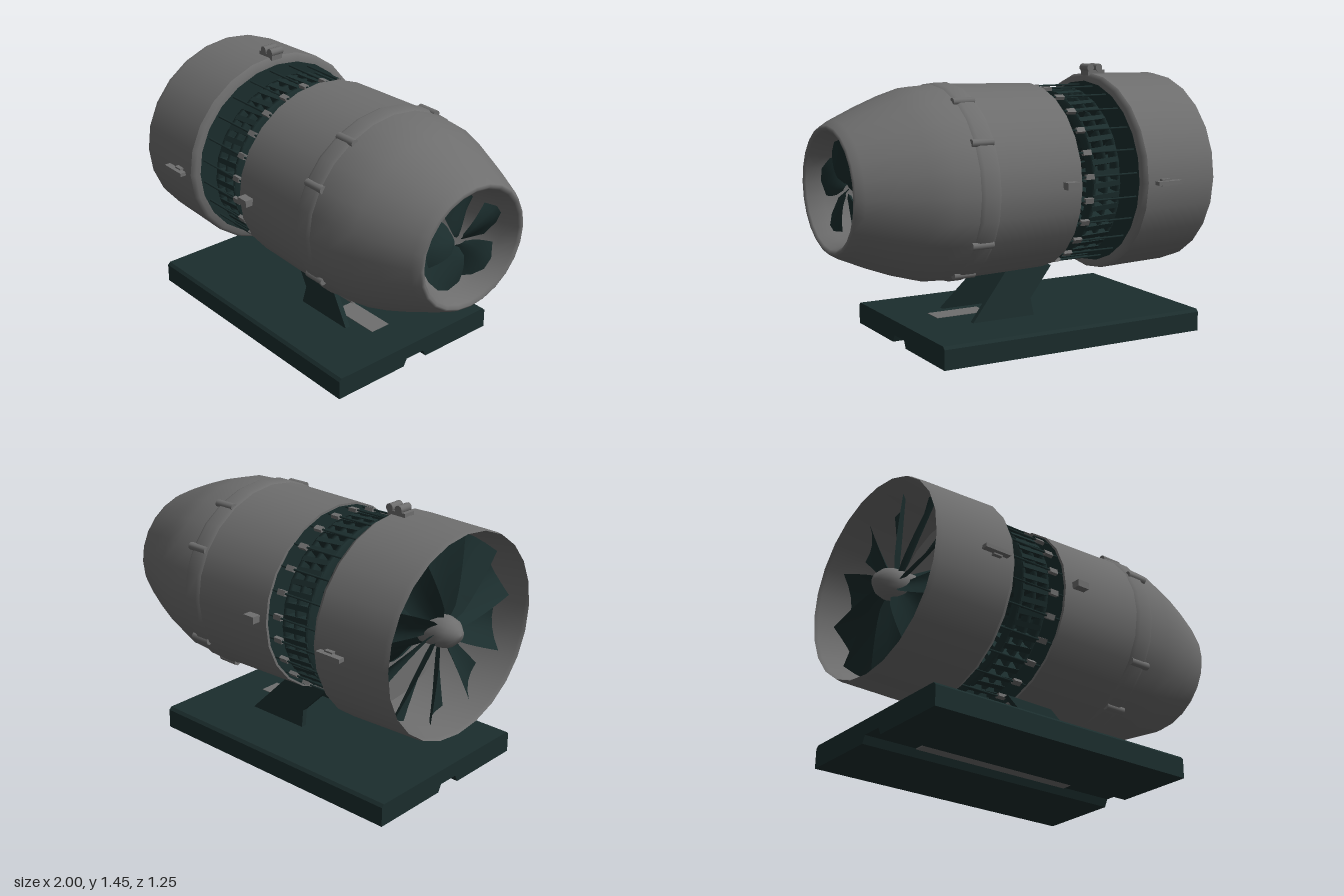
import * as THREE from 'three';

const grey = new THREE.MeshStandardMaterial({ color: 0x6e6e6e, side: THREE.DoubleSide });
grey.name = 'casing grey';
const dark = new THREE.MeshStandardMaterial({ color: 0x1b2d2d, side: THREE.DoubleSide });
dark.name = 'dark teal metal';

function add(parent, name, geometry, material, x = 0, y = 0, z = 0) {
  const mesh = new THREE.Mesh(geometry, material);
  mesh.name = name;
  mesh.position.set(x, y, z);
  parent.add(mesh);
  return mesh;
}

// Revolves [x, radius] points about the x axis; splits the profile at sharp corners.
function revolve(parent, name, runs, material, sides = 24) {
  const group = new THREE.Group();
  group.name = name;
  for (const run of runs) {
    const geo = new THREE.LatheGeometry(run.map(([x, r]) => new THREE.Vector2(r, x)), sides);
    geo.rotateZ(-Math.PI / 2);
    add(group, name + 'Surface', geo, material);
  }
  parent.add(group);
}

// Twisted blade standing along +y, sweeping wider toward the tip.
function bladeGeometry(r0, r1, rootWidth, tipWidth, twist0, twist1, round) {
  const geo = new THREE.PlaneGeometry(1, 1, 4, 6);
  const p = geo.attributes.position;
  for (let i = 0; i < p.count; i++) {
    const u = p.getX(i), t = p.getY(i) + 0.5;
    const width = THREE.MathUtils.lerp(rootWidth, tipWidth, Math.sqrt(t));
    const angle = THREE.MathUtils.lerp(twist0, twist1, t);
    const r = THREE.MathUtils.lerp(r0, r1, t) - round * t * 4 * u * u;
    const bow = 0.15 * width * (1 - 4 * u * u);
    p.setXYZ(i, u * width * Math.sin(angle) + bow, r, u * width * Math.cos(angle));
  }
  geo.computeVertexNormals();
  return geo;
}

// Places count copies of a part around the x axis.
function ring(parent, name, count, geometry, material, x, offset = 0) {
  const group = new THREE.Group();
  group.name = name + 's';
  group.position.x = x;
  for (let i = 0; i < count; i++) {
    add(group, name, geometry, material).rotation.x = offset + (i / count) * Math.PI * 2;
  }
  parent.add(group);
}

export function createModel() {
  const model = new THREE.Group();
  model.name = 'jetEngineOnStand';

  const engine = new THREE.Group();
  engine.name = 'engine';
  engine.position.y = 0.854;
  engine.scale.y = 0.93;
  model.add(engine);

  // Intake cowl: outer skin, rear flange and inner duct
  revolve(engine, 'intakeCowl', [
    [[-1, 0.57], [-0.97, 0.576], [-0.75, 0.582], [-0.56, 0.588]],
    [[-0.56, 0.588], [-0.535, 0.57], [-0.535, 0.52]],
    [[-0.535, 0.52], [-0.8, 0.537], [-0.98, 0.56], [-1, 0.57]],
  ], grey);
  revolve(engine, 'intakeBulkhead', [[[-0.57, 0.522], [-0.57, 0.28]]], grey);
  revolve(engine, 'compressorFrontPlate', [[[-0.54, 0.54], [-0.533, 0.54], [-0.533, 0.28]]], dark);

  // Rear casing with the raised band, tapering to the nozzle
  revolve(engine, 'rearCasing', [
    [[-0.18, 0.5], [-0.18, 0.54]],
    [[-0.18, 0.54], [0, 0.545], [0.3, 0.552]],
    [[0.3, 0.552], [0.32, 0.562], [0.39, 0.562], [0.41, 0.552]],
    [[0.41, 0.552], [0.54, 0.545], [0.66, 0.507], [0.8, 0.45], [0.95, 0.38], [0.99, 0.355],
      [0.998, 0.342], [0.985, 0.325], [0.9, 0.3], [0.75, 0.27], [0.5, 0.2]],
    [[0.5, 0.2], [0.5, 0.001]],
  ], grey);

  // Exposed compressor between the casings
  revolve(engine, 'compressorCore', [
    [[-0.68, 0.12], [-0.54, 0.3], [-0.42, 0.33], [-0.18, 0.35]],
    [[-0.185, 0.34], [-0.185, 0.53]],
  ], dark);
  for (const x of [-0.425, -0.35, -0.275]) {
    revolve(engine, 'compressorRing', [
      [[x - 0.012, 0.45], [x - 0.012, 0.505], [x + 0.012, 0.505], [x + 0.012, 0.45]],
    ], dark);
  }
  const stator = new THREE.BoxGeometry(0.16, 0.2, 0.03);
  stator.rotateY(0.08);
  stator.translate(0, 0.408, 0);
  ring(engine, 'statorBlade', 48, stator, dark, -0.35);
  const rod = new THREE.CylinderGeometry(0.006, 0.006, 0.36, 6);
  rod.rotateZ(Math.PI / 2);
  rod.translate(0, 0.518, 0);
  ring(engine, 'tieRod', 24, rod, dark, -0.36, 0.1);
  const clip = new THREE.BoxGeometry(0.05, 0.02, 0.03);
  clip.translate(0, 0.515, 0);
  ring(engine, 'rodClip', 24, clip, grey, -0.24, 0.1);

  // Intake fan and spinner
  ring(engine, 'fanBlade', 10, bladeGeometry(0.06, 0.53, 0.08, 0.24, -0.75, -0.4, 0.02), dark, -0.86);
  revolve(engine, 'spinner', [
    [[-0.99, 0.001], [-0.98, 0.035], [-0.94, 0.075], [-0.89, 0.09], [-0.78, 0.09]],
  ], grey, 16);
  revolve(engine, 'fanShaft', [[[-0.79, 0.085], [-0.6, 0.2]]], dark, 16);

  // Exhaust petals
  ring(engine, 'exhaustPetal', 5, bladeGeometry(0.03, 0.275, 0.05, 0.27, 0.6, 0.25, 0.08), dark, 0.88);

  // Small bosses around the raised band
  const boss = new THREE.CylinderGeometry(0.022, 0.022, 0.12, 10);
  boss.rotateZ(Math.PI / 2);
  boss.translate(0, 0.552, 0);
  for (const angle of [Math.PI / 6, Math.PI / 3, -Math.PI / 6, -Math.PI / 3]) {
    ring(engine, 'bandBoss', 2, boss, grey, 0.37, angle);
  }

  // Side rails and casing lugs
  for (const s of [-1, 1]) {
    add(engine, 'sideRail', new THREE.BoxGeometry(0.15, 0.022, 0.035), grey, -0.675, 0, s * 0.61);
    add(engine, 'sideRailFoot', new THREE.BoxGeometry(0.05, 0.04, 0.03), grey, -0.66, 0, s * 0.59);
    add(engine, 'casingLug', new THREE.BoxGeometry(0.07, 0.04, 0.05), grey, -0.1, 0.02, s * 0.56);
  }

  // Hoist bracket on top of the cowl
  add(model, 'hoistBase', new THREE.BoxGeometry(0.11, 0.03, 0.07), grey, -0.59, 1.4, 0);
  for (const x of [-0.605, -0.55]) {
    const eye = new THREE.CylinderGeometry(0.022, 0.022, 0.08, 10);
    eye.rotateX(Math.PI / 2);
    add(model, 'hoistEye', eye, grey, x, 1.428, 0);
  }

  // Stand base with a channel along its underside
  const section = new THREE.Shape([
    [-0.53, 0], [-0.08, 0], [-0.06, 0.04], [0.06, 0.04], [0.08, 0], [0.53, 0],
    [0.53, 0.105], [0.515, 0.12], [-0.515, 0.12], [-0.53, 0.105],
  ].map(([z, y]) => new THREE.Vector2(z, y)));
  const baseGeo = new THREE.ExtrudeGeometry(section, { depth: 1.56, bevelEnabled: false });
  baseGeo.rotateY(Math.PI / 2);
  add(model, 'standBase', baseGeo, dark, -0.95, 0, 0);
  add(model, 'channelStrip', new THREE.BoxGeometry(0.95, 0.006, 0.12), grey, -0.18, 0.038, 0);
  add(model, 'topStrip', new THREE.BoxGeometry(0.3, 0.005, 0.12), grey, 0.24, 0.12, 0.05);

  // Raked support plates, leaning in toward the engine
  const plate = new THREE.Shape([
    [-0.1, 0.11], [0.28, 0.11], [0.04, 0.37], [-0.24, 0.37], [-0.09, 0.21],
  ].map(([x, y]) => new THREE.Vector2(x, y)));
  for (const s of [-1, 1]) {
    const geo = new THREE.ExtrudeGeometry(plate, { depth: 0.03, bevelEnabled: false });
    const p = geo.attributes.position;
    for (let i = 0; i < p.count; i++) {
      p.setZ(i, p.getZ(i) - 0.015 + s * (0.18 - (p.getY(i) - 0.12) * 0.22));
    }
    geo.computeVertexNormals();
    add(model, 'supportPlate', geo, dark);
  }
  return model;
}
